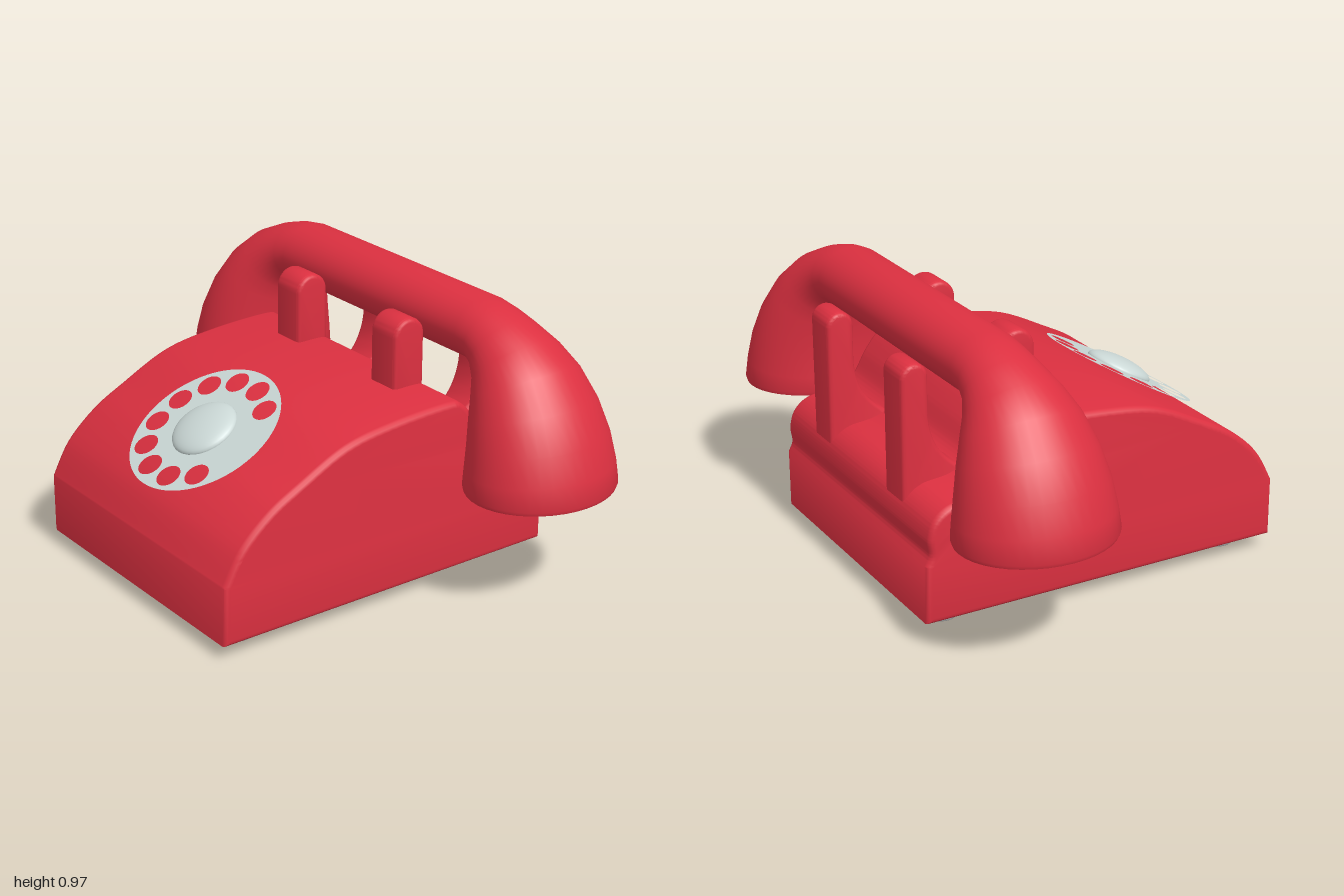
import * as THREE from 'three';
import { toCreasedNormals } from 'three/addons/utils/BufferGeometryUtils.js';

const paint = (color) => new THREE.MeshStandardMaterial({ color });
const red = paint(0xdc3040);
const grey = paint(0xcccccc);
const pale = paint(0xcbd8d6);
pale.side = THREE.DoubleSide;

function part(parent, name, geometry, material) {
  const mesh = new THREE.Mesh(geometry, material);
  mesh.name = name;
  parent.add(mesh);
  return mesh;
}

// Side outline given in (z, y), extruded across x and centred on x = 0
function sideExtrude(shape, width, bevel, crease) {
  const geometry = new THREE.ExtrudeGeometry(shape, {
    depth: width - 2 * bevel, bevelEnabled: true, bevelSize: bevel, bevelThickness: bevel,
    bevelOffset: -bevel, bevelSegments: 3, curveSegments: 12,
  });
  geometry.translate(0, 0, -width / 2 + bevel);
  geometry.rotateY(-Math.PI / 2);
  return toCreasedNormals(geometry, crease);
}

const points = (list) => list.map(([x, y]) => new THREE.Vector2(x, y));

function bodyShape() {
  const shape = new THREE.Shape();
  shape.moveTo(-0.645, 0.05);
  shape.lineTo(0.665, 0.05);
  shape.lineTo(0.665, 0.255);
  // sloping face, top ridge, handset trough and rear shelf
  shape.splineThru(points([
    [0.6, 0.368], [0.496, 0.462], [0.38, 0.527], [0.195, 0.613], [0, 0.645], [-0.22, 0.655],
    [-0.28, 0.638], [-0.34, 0.57], [-0.39, 0.49], [-0.46, 0.455], [-0.56, 0.44],
    [-0.615, 0.4], [-0.635, 0.34], [-0.63, 0.285], [-0.645, 0.25],
  ]));
  return shape;
}

// Upright prong with a round top; the rear one flares forward at its foot
function prongShape(z0, z1, bottom, top, flare) {
  const r = (z1 - z0) / 2;
  const shape = new THREE.Shape();
  shape.moveTo(z0, bottom);
  if (flare) {
    shape.lineTo(z1 + flare, bottom);
    shape.lineTo(z1 + flare, bottom + 0.08);
    shape.quadraticCurveTo(z1, bottom + 0.15, z1, bottom + 0.3);
  } else {
    shape.lineTo(z1, bottom);
  }
  shape.lineTo(z1, top - r);
  shape.absarc(z0 + r, top - r, r, 0, Math.PI, false);
  shape.lineTo(z0, bottom);
  return shape;
}

// Elliptical loft: each section has an outer point, an inner point and a half depth
function handsetGeometry() {
  const half = [
    [0.47, 0.967, 0.47, 0.757, 0.125], [0.545, 0.955, 0.497, 0.753, 0.127],
    [0.63, 0.929, 0.515, 0.738, 0.138], [0.73, 0.885, 0.53, 0.71, 0.163],
    [0.82, 0.815, 0.538, 0.67, 0.195], [0.9, 0.71, 0.545, 0.615, 0.226],
    [0.955, 0.6, 0.55, 0.545, 0.248], [0.985, 0.5, 0.548, 0.475, 0.262],
    [0.998, 0.425, 0.546, 0.425, 0.269], [0.993, 0.412, 0.55, 0.412, 0.265],
  ];
  const mirrored = half.map(([ox, oy, ix, iy, d]) => [-ox, oy, -ix, iy, d]).reverse();
  const sections = [...mirrored, ...half];
  const sides = 40, position = [], index = [];
  for (const [ox, oy, ix, iy, d] of sections) {
    for (let j = 0; j < sides; j++) {
      const a = (j / sides) * Math.PI * 2, c = Math.cos(a) / 2;
      position.push((ox + ix) / 2 + (ox - ix) * c, (oy + iy) / 2 + (oy - iy) * c, -0.4 + d * Math.sin(a));
    }
  }
  for (let i = 0; i < sections.length - 1; i++) {
    for (let j = 0; j < sides; j++) {
      const a = i * sides + j, b = i * sides + (j + 1) % sides;
      index.push(a, b, a + sides, b, b + sides, a + sides);
    }
  }
  // flat ends of the earpiece and mouthpiece
  const last = (sections.length - 1) * sides, centre = position.length / 3;
  position.push(-0.772, 0.408, -0.4, 0.772, 0.408, -0.4);
  for (let j = 0; j < sides; j++) {
    const k = (j + 1) % sides;
    index.push(centre, k, j, centre + 1, last + j, last + k);
  }
  const geometry = new THREE.BufferGeometry();
  geometry.setAttribute('position', new THREE.Float32BufferAttribute(position, 3));
  geometry.setIndex(index);
  return toCreasedNormals(geometry, 0.75);
}

function createDial() {
  const dial = new THREE.Group();
  dial.name = 'dial';
  const disc = new THREE.Shape();
  disc.absarc(0, 0, 0.273, 0, Math.PI * 2, false);
  // ten finger holes, leaving a gap on one side
  for (let i = 0; i < 10; i++) {
    const a = THREE.MathUtils.degToRad(49 + 29.5 * i);
    const hole = new THREE.Path();
    hole.absarc(0.213 * Math.cos(a), 0.213 * Math.sin(a), 0.043, 0, Math.PI * 2, true);
    disc.holes.push(hole);
  }
  part(dial, 'fingerWheel', new THREE.ShapeGeometry(disc, 32), pale);
  const dome = new THREE.SphereGeometry(0.117, 32, 10, 0, Math.PI * 2, 0, Math.PI / 2);
  dome.rotateX(Math.PI / 2);
  dome.scale(1, 1, 0.32);
  part(dial, 'dialCentre', dome, pale);
  dial.position.set(0, 0.538, 0.38);
  dial.rotation.x = THREE.MathUtils.degToRad(29 - 90);
  return dial;
}

export function createModel() {
  const model = new THREE.Group();
  model.name = 'rotaryTelephone';

  part(model, 'body', sideExtrude(bodyShape(), 1.054, 0.02, 0.6), red);
  part(model, 'handset', handsetGeometry(), red);
  model.add(createDial());

  // Handset cradle
  const frontProng = sideExtrude(prongShape(-0.27, -0.147, 0.55, 0.89, 0), 0.13, 0.014, 0.6);
  const rearProng = sideExtrude(prongShape(-0.622, -0.527, 0.38, 0.845, 0.13), 0.13, 0.014, 0.6);
  // Rounded feet
  const foot = new THREE.LatheGeometry(points([
    [0, 0], [0.035, 0], [0.046, 0.006], [0.054, 0.018], [0.057, 0.035], [0.057, 0.06],
  ]), 24);

  for (const [side, s] of [['left', 1], ['right', -1]]) {
    part(model, side + 'FrontProng', frontProng, red).position.x = s * 0.265;
    part(model, side + 'RearProng', rearProng, red).position.x = s * 0.265;
    for (const [end, z] of [['Front', 0.535], ['Rear', -0.535]]) {
      part(model, side + end + 'Foot', foot, grey).position.set(s * 0.405, 0, z);
    }
  }
  return model;
}
